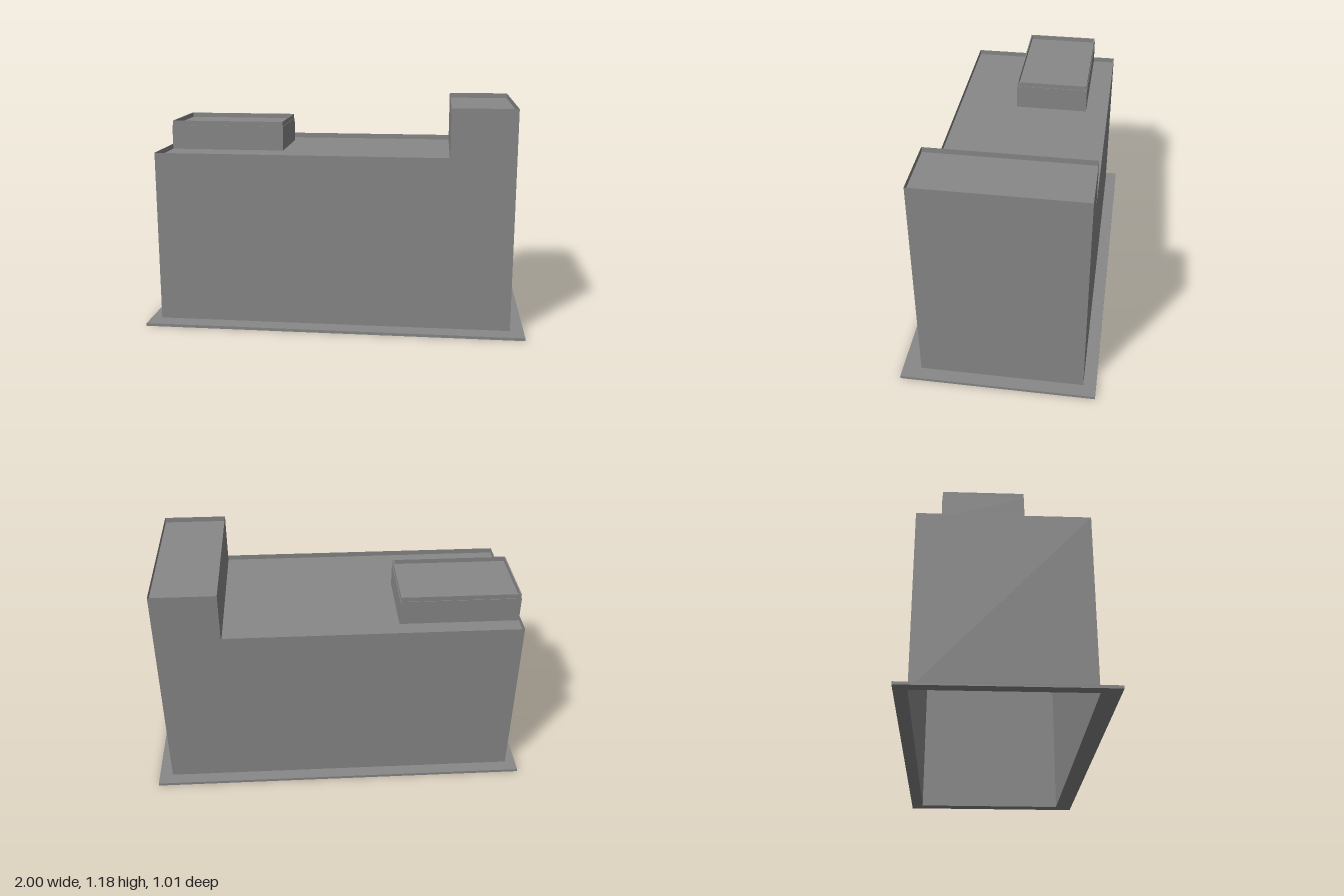
import * as THREE from 'three';

const material = new THREE.MeshStandardMaterial({ color: 0x888888, side: THREE.DoubleSide, flatShading: true });

// Outer limits of the building and its levels
const L = -0.944, R = 0.929, BACK = -0.439, FRONT = 0.409, STEP = 0.595;
const LOW = 0.925, HIGH = 1.177, RECESS = 0.028;

function add(parent, name, geometry, x = 0, y = 0, z = 0) {
  const mesh = new THREE.Mesh(geometry, material);
  mesh.name = name;
  mesh.position.set(x, y, z);
  parent.add(mesh);
}

// Thin upright panel across x, facing left (+1) or right (-1)
function sideWall(parent, name, x, facing, y0, y1) {
  const g = new THREE.PlaneGeometry(FRONT - BACK, y1 - y0).rotateY(facing * Math.PI / 2);
  add(parent, name, g, x, (y0 + y1) / 2, (FRONT + BACK) / 2);
}

// Thin level panel between the long walls
function roof(parent, name, x0, x1, y) {
  const g = new THREE.PlaneGeometry(x1 - x0, FRONT - BACK).rotateX(-Math.PI / 2);
  add(parent, name, g, (x0 + x1) / 2, y, (FRONT + BACK) / 2);
}

// Rectangular frame lying flat, solid between y0 and y1; outer and inner are [x0, x1, z0, z1]
function frame(parent, name, outer, inner, y0, y1) {
  const corners = ([x0, x1, z0, z1]) =>
    [[x0, -z1], [x1, -z1], [x1, -z0], [x0, -z0]].map(([x, y]) => new THREE.Vector2(x, y));
  const shape = new THREE.Shape(corners(outer));
  shape.holes.push(new THREE.Path(corners(inner).reverse()));
  const g = new THREE.ExtrudeGeometry(shape, { depth: y1 - y0, bevelEnabled: false }).rotateX(-Math.PI / 2);
  add(parent, name, g, 0, y0, 0);
}

export function createModel() {
  const model = new THREE.Group();
  model.name = 'building';

  // Pavement around the open-bottomed building
  frame(model, 'pavement', [-1, 1, -0.505, 0.505], [L, R, BACK, FRONT], 0, 0.015);

  // Stepped long walls, front and back
  const profile = new THREE.Shape(
    [[L, 0], [R, 0], [R, HIGH], [STEP, HIGH], [STEP, LOW], [L, LOW]].map(([x, y]) => new THREE.Vector2(x, y)));
  add(model, 'frontWall', new THREE.ShapeGeometry(profile), 0, 0, FRONT);
  const backGeometry = new THREE.ShapeGeometry(profile);
  backGeometry.setIndex([...backGeometry.index.array].reverse());
  backGeometry.computeVertexNormals();
  add(model, 'backWall', backGeometry, 0, 0, BACK);

  // End walls, and the riser between the two roof levels with the parapet at its foot
  sideWall(model, 'rightEndWall', L, -1, 0, LOW);
  sideWall(model, 'leftEndWall', R, 1, 0, HIGH);
  sideWall(model, 'towerRiser', STEP, -1, LOW, HIGH);
  sideWall(model, 'riserParapet', STEP, -1, LOW - RECESS, LOW);

  // Roofs sunk behind the parapets
  roof(model, 'mainRoof', L, STEP, LOW - RECESS);
  roof(model, 'towerRoof', STEP, R, HIGH - RECESS);

  // Rooftop hut with a thin rim set just inside its walls
  const hut = new THREE.Group();
  hut.name = 'rooftopHut';
  model.add(hut);
  const x0 = L, x1 = -0.319, z0 = -0.315, z1 = 0.084, top = 1.055, base = LOW - RECESS;
  const rimBottom = top - 0.025;
  const inset = d => [x0 + d, x1 - d, z0 + d, z1 - d];
  add(hut, 'hutBody', new THREE.BoxGeometry(x1 - x0, rimBottom - base, z1 - z0),
    (x0 + x1) / 2, (rimBottom + base) / 2, (z0 + z1) / 2);
  frame(hut, 'hutRim', inset(0.003), inset(0.009), rimBottom, top);

  return model;
}
